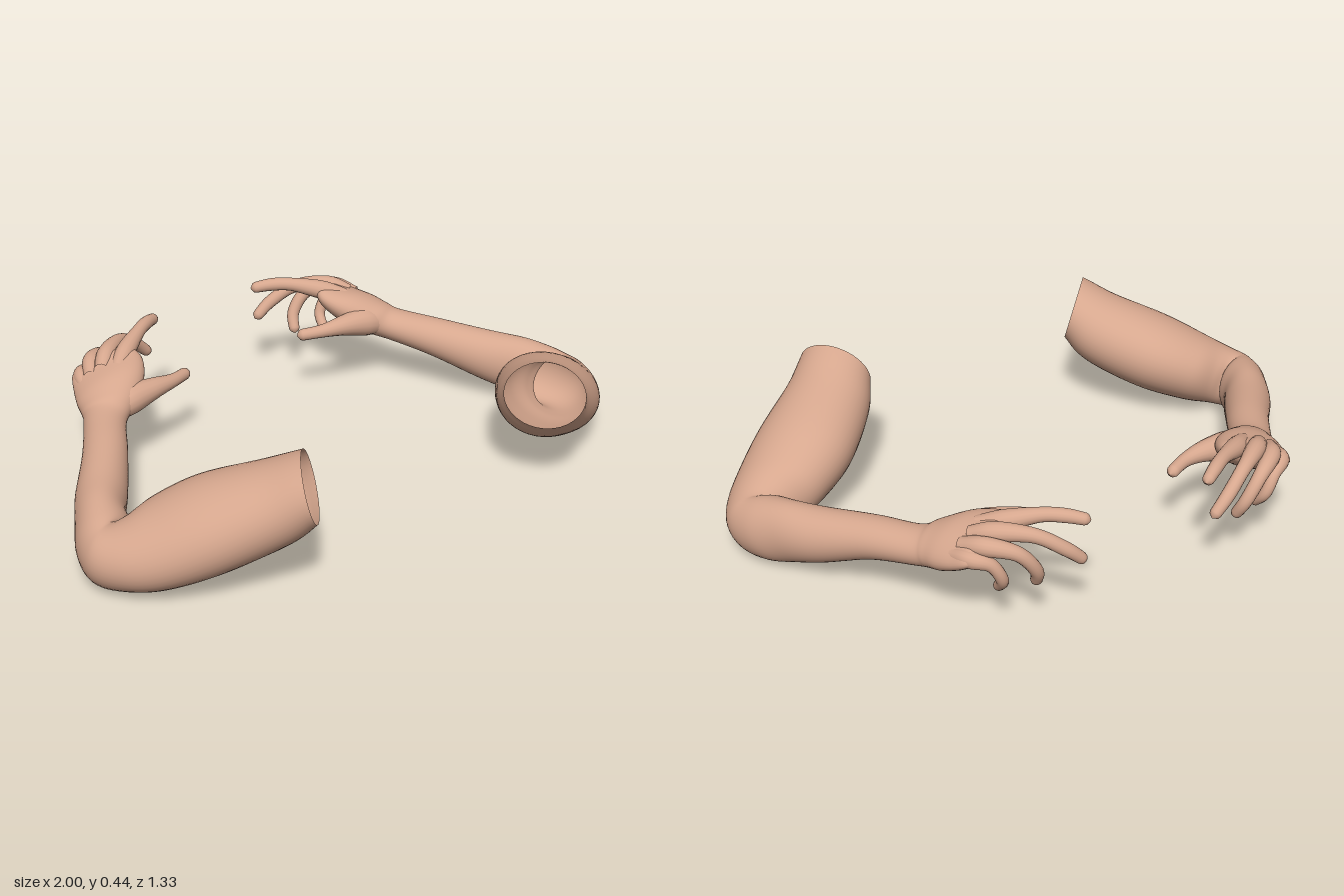
import * as THREE from 'three';

const skin = new THREE.MeshStandardMaterial({ color: 0xd6a78e, side: THREE.DoubleSide });
skin.name = 'skin';

const V = (x, y, z) => new THREE.Vector3(x, y, z);
const spline = (pts) => new THREE.CatmullRomCurve3(pts, false, 'catmullrom', 0.5);

// Joins rings of points into a smooth skin; side -1 mirrors it to the other arm.
function loft(rings, side) {
  const n = rings[0].length;
  const pos = [], idx = [];
  const tri = (a, b, c) => (side > 0 ? idx.push(a, b, c) : idx.push(a, c, b));
  rings.forEach((ring) => ring.forEach((p) => pos.push(p.x * side, p.y, p.z)));
  for (let i = 0; i < rings.length - 1; i++) {
    for (let j = 0; j < n; j++) {
      const a = i * n + j, b = i * n + ((j + 1) % n);
      tri(a, a + n, b);
      tri(b, a + n, b + n);
    }
  }
  // Close the far end.
  const last = rings[rings.length - 1], base = (rings.length - 1) * n;
  const c = last.reduce((s, p) => s.add(p), V(0, 0, 0)).divideScalar(n);
  pos.push(c.x * side, c.y, c.z);
  for (let j = 0; j < n; j++) tri(base + j, base + n, base + ((j + 1) % n));
  const g = new THREE.BufferGeometry();
  g.setAttribute('position', new THREE.Float32BufferAttribute(pos, 3));
  g.setIndex(idx);
  g.computeVertexNormals();
  return g;
}

// Elliptical ring around c with half axes u and v.
function ring(c, u, v, n) {
  return Array.from({ length: n }, (_, j) => {
    const a = (j / n) * Math.PI * 2;
    return c.clone().addScaledVector(u, Math.cos(a)).addScaledVector(v, Math.sin(a));
  });
}

// Arm sections from shoulder to knuckles: inner edge, outer edge, half thickness.
const ARM = [
  [0.38, 0.345, 0.465, 0.54, 0.345, 0.665, 0.105],
  [0.435, 0.292, 0.375, 0.622, 0.27, 0.6, 0.124],
  [0.57, 0.24, 0.235, 0.765, 0.175, 0.505, 0.133],
  [0.70, 0.19, 0.168, 0.88, 0.106, 0.405, 0.12],
  [0.785, 0.147, 0.16, 0.955, 0.085, 0.315, 0.105],
  [0.82, 0.115, 0.157, 0.998, 0.092, 0.22, 0.1],
  [0.795, 0.117, 0.127, 0.98, 0.11, 0.12, 0.106],
  [0.772, 0.135, 0.067, 0.93, 0.128, 0.03, 0.102],
  [0.71, 0.158, -0.02, 0.865, 0.148, -0.075, 0.088],
  [0.62, 0.2, -0.16, 0.75, 0.187, -0.22, 0.067],
  [0.545, 0.23, -0.285, 0.652, 0.207, -0.37, 0.056],
  [0.48, 0.262, -0.328, 0.632, 0.216, -0.415, 0.06],
  [0.41, 0.303, -0.388, 0.62, 0.228, -0.462, 0.062],
  [0.375, 0.33, -0.45, 0.598, 0.25, -0.518, 0.05],
  [0.382, 0.347, -0.495, 0.575, 0.274, -0.563, 0.036],
  [0.42, 0.342, -0.53, 0.545, 0.286, -0.58, 0.012],
];

function armGeometry(side) {
  const inner = spline(ARM.map((s) => V(s[0], s[1], s[2])));
  const outer = spline(ARM.map((s) => V(s[3], s[4], s[5])));
  const thick = spline(ARM.map((s) => V(s[6], 0, 0)));
  const mid = (t) => inner.getPoint(t).add(outer.getPoint(t)).multiplyScalar(0.5);
  const steps = 105, rings = [];
  for (let i = 0; i <= steps; i++) {
    const t = i / steps;
    const u = outer.getPoint(t).sub(inner.getPoint(t)).multiplyScalar(0.5);
    const dir = mid(Math.min(1, t + 0.01)).sub(mid(Math.max(0, t - 0.01)));
    // The shoulder cut stands more upright than the arm's slope.
    dir.y *= Math.min(1, 0.4 + 4 * t);
    const up = u.clone().cross(dir).setLength(thick.getPoint(t).x);
    rings.push(ring(mid(t), u, up.negate(), 40));
  }
  return loft(rings, side);
}

// Digits: path points from inside the palm to the tip, with a radius at each point.
const DIGITS = {
  thumb: [[0.565, 0.232, -0.345, 0.035], [0.485, 0.25, -0.36, 0.05], [0.395, 0.26, -0.362, 0.036],
    [0.31, 0.258, -0.374, 0.023], [0.228, 0.25, -0.41, 0.02]],
  indexFinger: [[0.47, 0.32, -0.45, 0.026], [0.405, 0.343, -0.503, 0.032], [0.32, 0.366, -0.56, 0.023],
    [0.26, 0.367, -0.602, 0.022], [0.2, 0.354, -0.642, 0.018]],
  middleFinger: [[0.51, 0.315, -0.48, 0.026], [0.455, 0.338, -0.537, 0.031], [0.365, 0.333, -0.603, 0.023],
    [0.285, 0.283, -0.64, 0.022], [0.222, 0.227, -0.652, 0.018]],
  ringFinger: [[0.545, 0.295, -0.49, 0.026], [0.5, 0.315, -0.56, 0.03], [0.425, 0.295, -0.612, 0.023],
    [0.37, 0.225, -0.62, 0.021], [0.352, 0.158, -0.588, 0.018]],
  littleFinger: [[0.57, 0.27, -0.49, 0.025], [0.545, 0.282, -0.552, 0.028], [0.498, 0.265, -0.585, 0.021],
    [0.465, 0.205, -0.59, 0.019], [0.455, 0.15, -0.542, 0.017]],
};

function digitGeometry(points, side) {
  const path = spline(points.map((p) => V(p[0], p[1], p[2])));
  const radius = spline(points.map((p) => V(p[3], 0, 0)));
  const steps = 40, length = path.getLength(), rings = [];
  const frames = path.computeFrenetFrames(steps, false);
  for (let i = 0; i <= steps; i++) {
    const t = path.getUtoTmapping(i / steps);
    let r = radius.getPoint(t).x;
    // Round off the fingertip.
    const left = length * (1 - i / steps);
    if (left < r) r *= Math.sqrt(Math.max(0.01, 1 - (1 - left / r) ** 2));
    const u = frames.normals[i].clone().multiplyScalar(r);
    const v = frames.binormals[i].clone().multiplyScalar(-r);
    rings.push(ring(path.getPoint(t), u, v, 16));
  }
  return loft(rings, side);
}

export function createModel() {
  const model = new THREE.Group();
  model.name = 'arms';
  for (const side of [1, -1]) {
    const arm = new THREE.Group();
    arm.name = side > 0 ? 'leftArm' : 'rightArm';
    const add = (name, geometry) => {
      const mesh = new THREE.Mesh(geometry, skin);
      mesh.name = name;
      arm.add(mesh);
    };
    add('armAndPalm', armGeometry(side));
    for (const [name, points] of Object.entries(DIGITS)) add(name, digitGeometry(points, side));
    model.add(arm);
  }
  return model;
}
